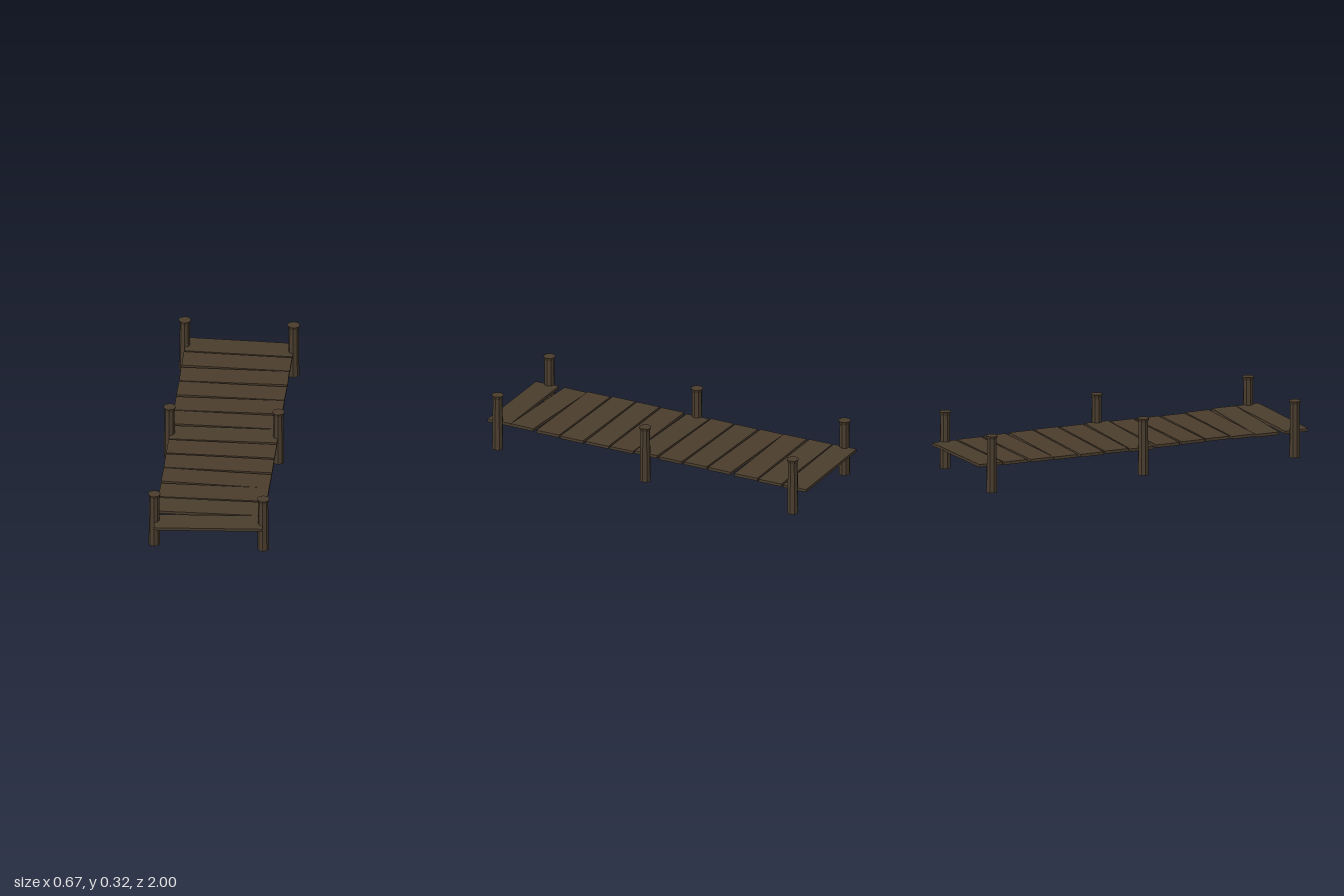
import * as THREE from 'three';

export function createModel() {
  const model = new THREE.Group();
  const wood = new THREE.MeshStandardMaterial({ color: 0x4a3d2d, flatShading: true });
  wood.name = 'dark wood';

  // Deck boards, back to front: [z, yaw, roll]
  const boards = [
    [-0.927, 0.012, -0.018], [-0.775, 0.004, -0.012], [-0.62, 0.022, -0.004],
    [-0.465, -0.013, 0.003], [-0.311, 0.003, 0.01], [-0.158, -0.01, 0.002],
    [-0.005, -0.007, 0.016], [0.149, 0.004, -0.003], [0.303, 0.003, -0.008],
    [0.457, -0.013, -0.012], [0.609, 0.003, 0.002], [0.762, -0.025, 0.018],
    [0.922, 0.034, 0.018],
  ];
  const boardGeometry = new THREE.BoxGeometry(0.597, 0.016, 0.142);
  const deck = new THREE.Group();
  deck.name = 'deck';
  boards.forEach(([z, yaw, roll], i) => {
    const board = new THREE.Mesh(boardGeometry, wood);
    board.name = `deckBoard${i + 1}`;
    board.position.set(0, 0.149, z);
    board.rotation.set(0, yaw, roll);
    deck.add(board);
  });
  model.add(deck);

  // Tapered eight-sided posts with a flared, flat top
  const profile = [[0, 0], [0.0315, 0], [0.0275, 0.3], [0.035, 0.32], [0, 0.32]]
    .map(([r, y]) => new THREE.Vector2(r, y));
  const postGeometry = new THREE.LatheGeometry(profile, 8);
  for (const [row, z] of [['back', -0.92], ['middle', 0], ['front', 0.92]]) {
    for (const [side, x] of [['Left', 0.3], ['Right', -0.3]]) {
      const post = new THREE.Mesh(postGeometry, wood);
      post.name = `${row}${side}Post`;
      post.position.set(x, 0, z);
      model.add(post);
    }
  }
  return model;
}
